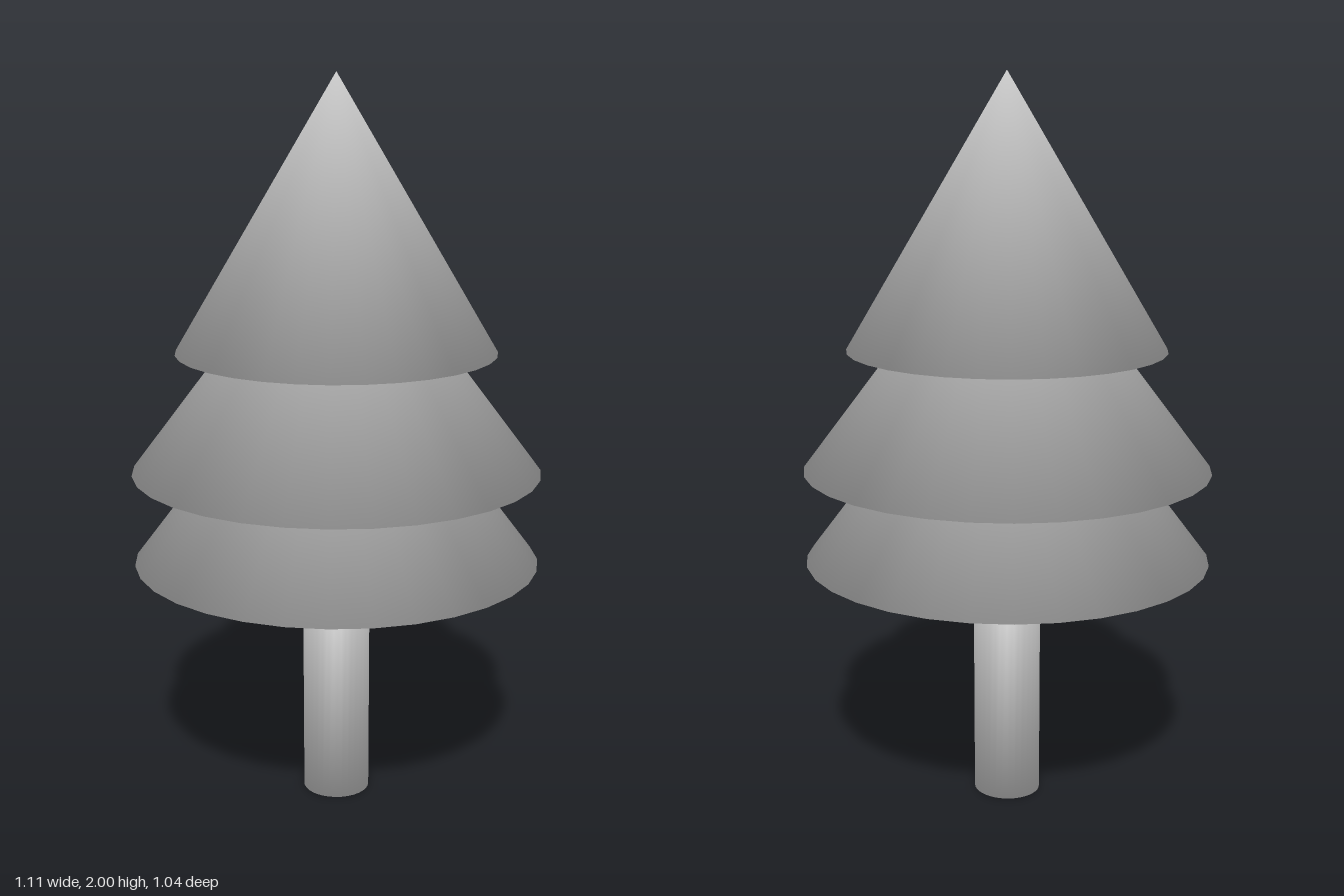
import * as THREE from 'three';

const SIDES = 32;
const material = new THREE.MeshStandardMaterial({ color: 0xcccccc });

// One soft normal per corner: vertical on the axis, radial and tilted by rimY on a rim
function soften(geometry, rimY) {
  const p = geometry.attributes.position;
  const n = geometry.attributes.normal;
  const v = new THREE.Vector3();
  for (let i = 0; i < p.count; i++) {
    const side = Math.sign(p.getY(i));
    v.set(p.getX(i), 0, p.getZ(i));
    if (v.length() < 1e-4) v.set(0, side, 0);
    else v.setLength(Math.sqrt(1 - rimY * rimY)).setY(side * rimY);
    n.setXYZ(i, v.x, v.y, v.z);
  }
  return geometry;
}

// Slightly oval upright solid standing on height y
function addPart(group, name, { bottom, top, y, height, depth, rimY }) {
  const geometry = new THREE.CylinderGeometry(top, bottom, height, SIDES, 1);
  const mesh = new THREE.Mesh(soften(geometry, rimY), material);
  mesh.name = name;
  mesh.position.y = y + height / 2;
  mesh.scale.z = depth / bottom;
  group.add(mesh);
}

export function createModel() {
  const tree = new THREE.Group();
  tree.name = 'coniferTree';

  // Trunk, reaching just into the lowest tier
  addPart(tree, 'trunk', { bottom: 0.093, top: 0.093, y: 0, height: 0.75, depth: 0.085, rimY: 0.7 });

  // Three overlapping tiers of foliage with flat undersides
  const tiers = [
    ['lowerFoliage', 0.7, 0.73, 0.555, 0.52],
    ['middleFoliage', 0.955, 0.73, 0.555, 0.52],
    ['upperFoliage', 1.28, 0.72, 0.43, 0.41],
  ];
  for (const [name, y, height, bottom, depth] of tiers) {
    addPart(tree, name, { bottom, top: 0, y, height, depth, rimY: 0.55 });
  }
  return tree;
}
